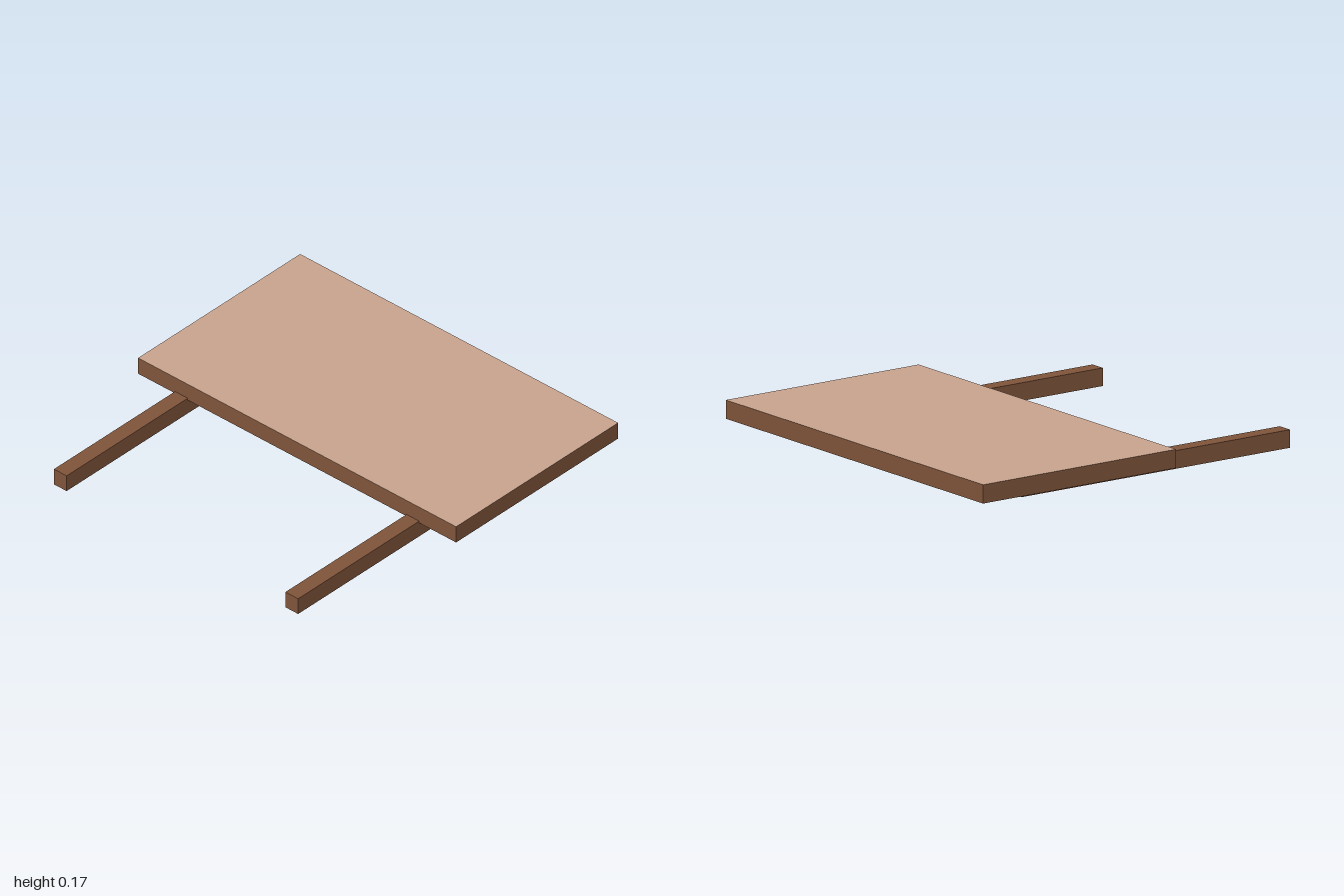
import * as THREE from 'three';

export function createModel() {
  const model = new THREE.Group();
  const material = (name, color) => {
    const m = new THREE.MeshStandardMaterial({ color });
    m.name = name;
    return m;
  };
  const wood = material('brown wood', 0x80553b);
  const paleWood = material('pale wood surface', 0xc9a48f);
  const metal = material('grey metal', 0x8e9296);

  const add = (name, geometry, mat, x, y, z) => {
    const mesh = new THREE.Mesh(geometry, mat);
    mesh.name = name;
    mesh.position.set(x, y, z);
    model.add(mesh);
    return mesh;
  };

  // Shelf board with a pale upper face
  add('shelfBoard', new THREE.BoxGeometry(2, 0.09, 1.12),
    [wood, wood, paleWood, wood, wood, wood], 0, 0.122, -0.42);

  for (const side of [1, -1]) {
    const label = side > 0 ? 'left' : 'right';

    // Support rail let slightly into the board
    add(label + 'Rail', new THREE.BoxGeometry(0.08, 0.087, 1.56),
      wood, side * 0.728, 0.0435, 0.197);

    // Flush fixing discs under the board's end
    const discZ = [-0.82, -0.405, side > 0 ? -0.05 : 0.04];
    for (const z of discZ) {
      add(label + 'FixingDisc', new THREE.CylinderGeometry(0.03, 0.03, 0.004, 24),
        metal, side * 0.92, 0.0765, z);
    }
  }
  return model;
}
